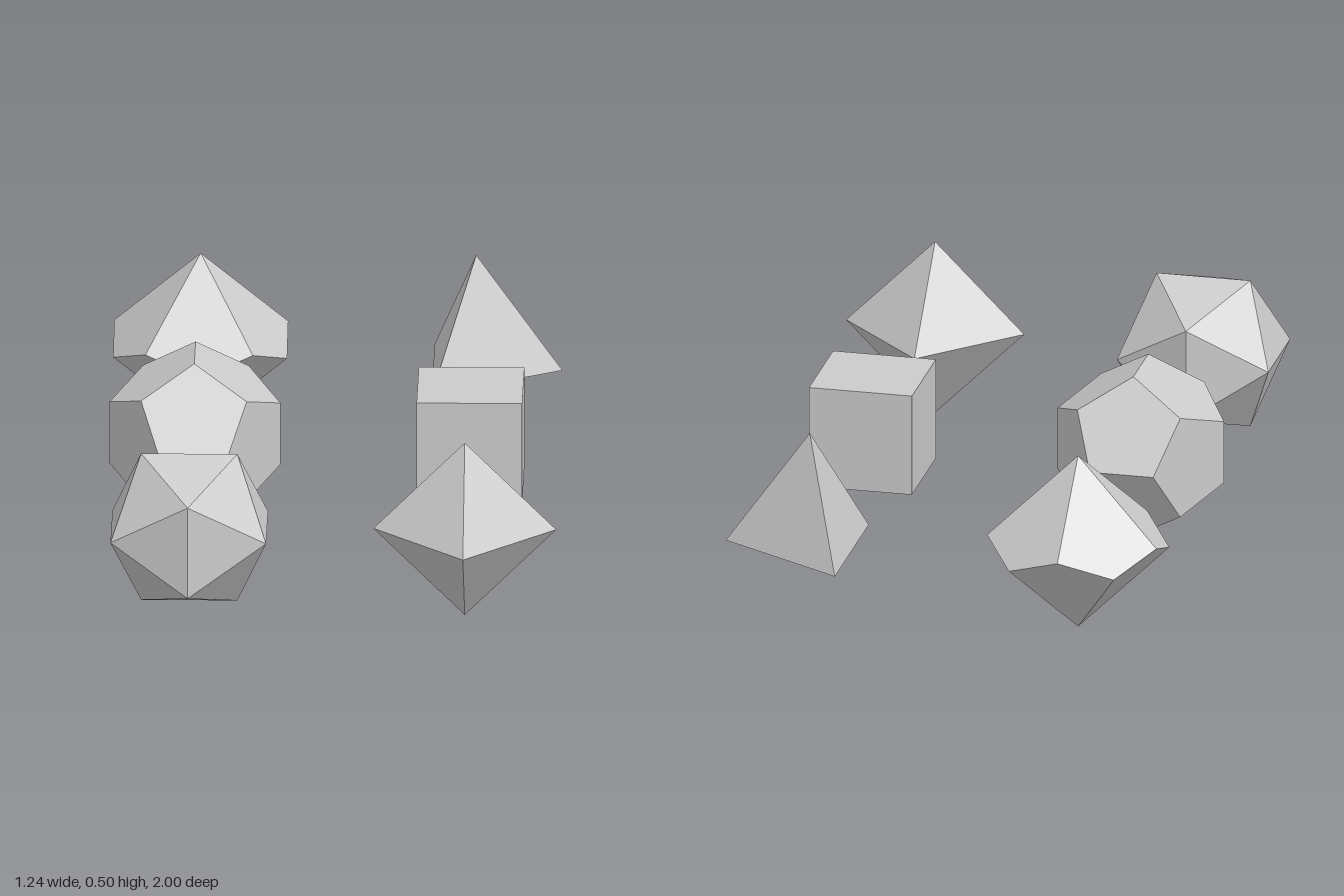
import * as THREE from 'three';

const R = 0.249; // circumradius shared by all solids

// Triangular pyramid with one base corner on +x, centred on its circumcentre
function tetrahedron() {
  const g = new THREE.ConeGeometry(R * Math.sqrt(8) / 3, R * 4 / 3, 3, 1);
  return g.rotateY(Math.PI / 2).translate(0, R / 3, 0);
}

// Ten kite faces around a zigzag belt between two apexes
function trapezohedron() {
  const c = Math.cos(Math.PI / 5);
  const h = R * (1 - c) / (1 + c); // belt offset that keeps each kite flat
  const belt = (i) => {
    const a = (i % 10) * Math.PI / 5;
    return [R * Math.sin(a), i % 2 ? -h : h, -R * Math.cos(a)];
  };
  const pos = [];
  for (let i = 0; i < 10; i++) {
    const [p, q, r] = [belt(i), belt(i + 1), belt(i + 2)];
    if (i % 2 === 0) {
      const top = [0, R, 0];
      pos.push(...top, ...r, ...q, ...top, ...q, ...p);
    } else {
      const bottom = [0, -R, 0];
      pos.push(...bottom, ...p, ...q, ...bottom, ...q, ...r);
    }
  }
  const g = new THREE.BufferGeometry();
  g.setAttribute('position', new THREE.Float32BufferAttribute(pos, 3));
  g.computeVertexNormals();
  return g;
}

export function createModel() {
  const group = new THREE.Group();
  group.name = 'polyhedralDiceSet';
  const material = new THREE.MeshStandardMaterial({ color: 0xcccccc, flatShading: true });
  const side = 2 * R / Math.sqrt(3);
  const left = 0.37, right = -0.38, row = 0.75;

  // Two columns of three dice
  const dice = [
    ['fourSidedDie', tetrahedron(), left, -row],
    ['sixSidedDie', new THREE.BoxGeometry(side, side, side), left, 0],
    ['eightSidedDie', new THREE.OctahedronGeometry(R), left, row],
    ['tenSidedDie', trapezohedron(), right, -row],
    ['twelveSidedDie', new THREE.DodecahedronGeometry(R).rotateY(Math.PI / 2), right, 0],
    ['twentySidedDie', new THREE.IcosahedronGeometry(R), right, row],
  ];
  for (const [name, geometry, x, z] of dice) {
    const mesh = new THREE.Mesh(geometry, material);
    mesh.name = name;
    mesh.position.set(x, R, z);
    group.add(mesh);
  }
  return group;
}
